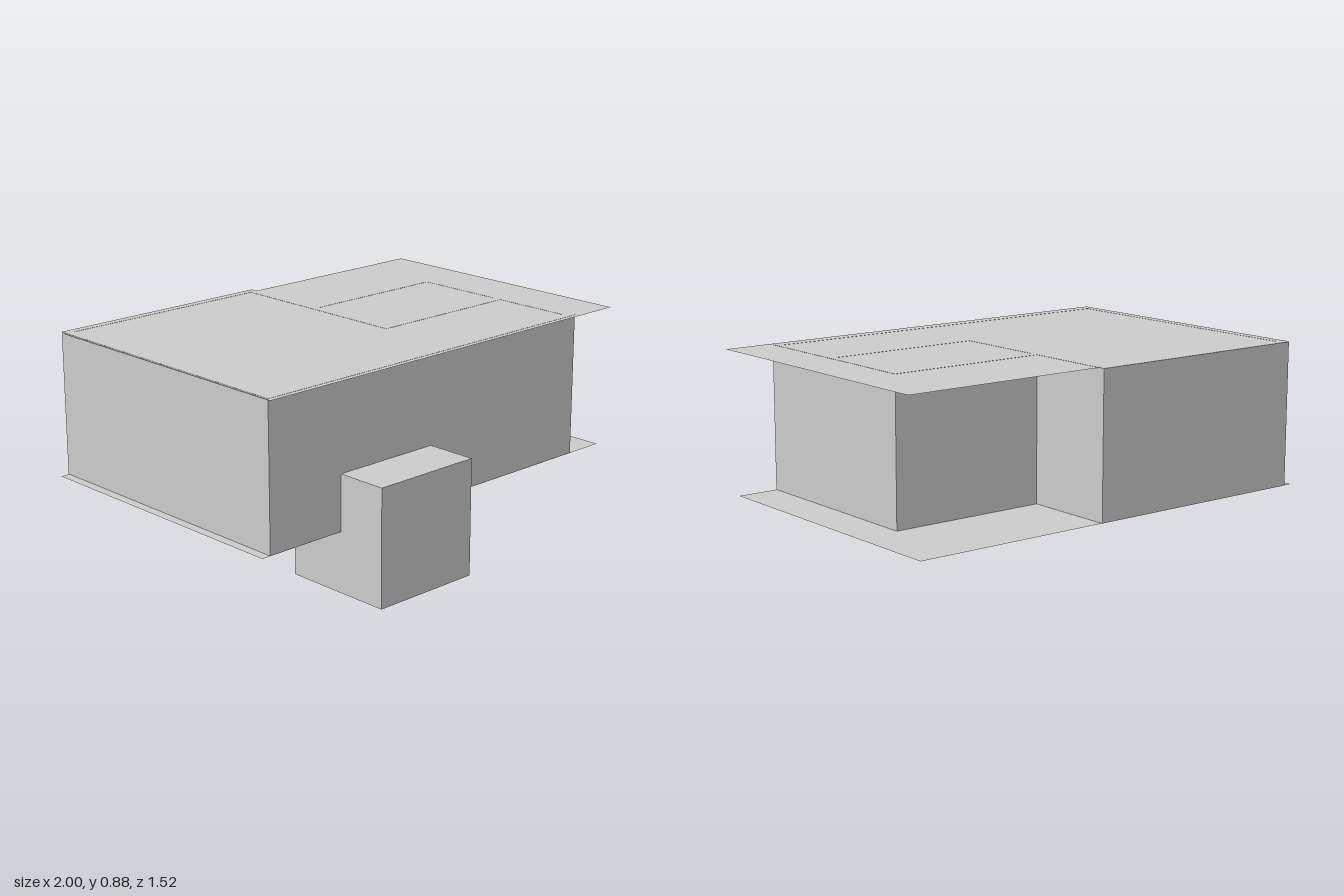
import * as THREE from 'three';

const FLOOR = 0.26, ROOF = 0.884, T = 0.035;

export function createModel() {
  const model = new THREE.Group();
  const mat = new THREE.MeshStandardMaterial({ color: 0xcccccc, flatShading: true });
  const thin = new THREE.MeshStandardMaterial({ color: 0xcccccc, side: THREE.DoubleSide });

  // Box given by its limits on each axis
  function box(name, x0, x1, y0, y1, z0, z1) {
    const m = new THREE.Mesh(new THREE.BoxGeometry(x1 - x0, y1 - y0, z1 - z0), mat);
    m.position.set((x0 + x1) / 2, (y0 + y1) / 2, (z0 + z1) / 2);
    m.name = name;
    model.add(m);
  }

  // Thin horizontal sheet
  function sheet(name, x0, x1, z0, z1, y) {
    const m = new THREE.Mesh(new THREE.PlaneGeometry(x1 - x0, z1 - z0).rotateX(-Math.PI / 2), thin);
    m.position.set((x0 + x1) / 2, y, (z0 + z1) / 2);
    m.name = name;
    model.add(m);
  }

  // Roof and floor sheets, slightly offset from each other
  sheet('roof', -0.97, 1, -0.73, 0.555, ROOF);
  sheet('floor', -1, 0.97, -0.757, 0.532, FLOOR);

  // Walls of the L-shaped plan, and the inner partitions
  const walls = [
    ['frontWall', -0.96, 0.787, 0.532 - T, 0.532],
    ['rightSideWall', -0.96, -0.96 + T, -0.76, 0.532 - T],
    ['leftSideWall', 0.787 - T, 0.787, -0.35, 0.532 - T],
    ['backWall', -0.96 + T, 0.08, -0.76, -0.76 + T],
    ['stepWall', 0.08 - T, 0.08, -0.76 + T, 0.1],
    ['recessedBackWall', 0.08, 0.787 - T, -0.35, -0.35 + T],
    ['partition', 0.045, 0.787 - T, 0.1, 0.1 + T],
  ];
  for (const [name, x0, x1, z0, z1] of walls) box(name, x0, x1, FLOOR + 0.0005, ROOF + 0.0008, z0, z1);

  // Large block set into the front
  box('frontBlock', -0.59, -0.09, 0, 0.5, 0.26, 0.757);

  // Shallow undersides of furniture that reach through the floor
  const pads = [
    ['bedBase', -0.33, 0.015, -0.645, -0.105, 0.008],
    ['counterBase', -0.92, -0.735, -0.72, -0.13, 0.013],
    ['cabinetBase', -0.92, -0.71, -0.12, 0.07, 0.006],
    ['sill', 0.61, 0.755, 0.122, 0.138, 0.009],
    ['sill', 0.61, 0.755, 0.472, 0.487, 0.009],
    ['threshold', 0.18, 0.24, -0.306, -0.294, 0.005],
  ];
  for (const [name, x0, x1, z0, z1, d] of pads) box(name, x0, x1, FLOOR - d, FLOOR + 0.01, z0, z1);

  // Round feet below the floor
  for (const [x, z] of [[0.42, -0.27], [-0.665, 0.3]]) {
    const foot = new THREE.Mesh(new THREE.CylinderGeometry(0.017, 0.017, 0.02, 20), mat);
    foot.position.set(x, FLOOR - 0.006, z);
    foot.name = 'roundFoot';
    model.add(foot);
  }
  return model;
}
